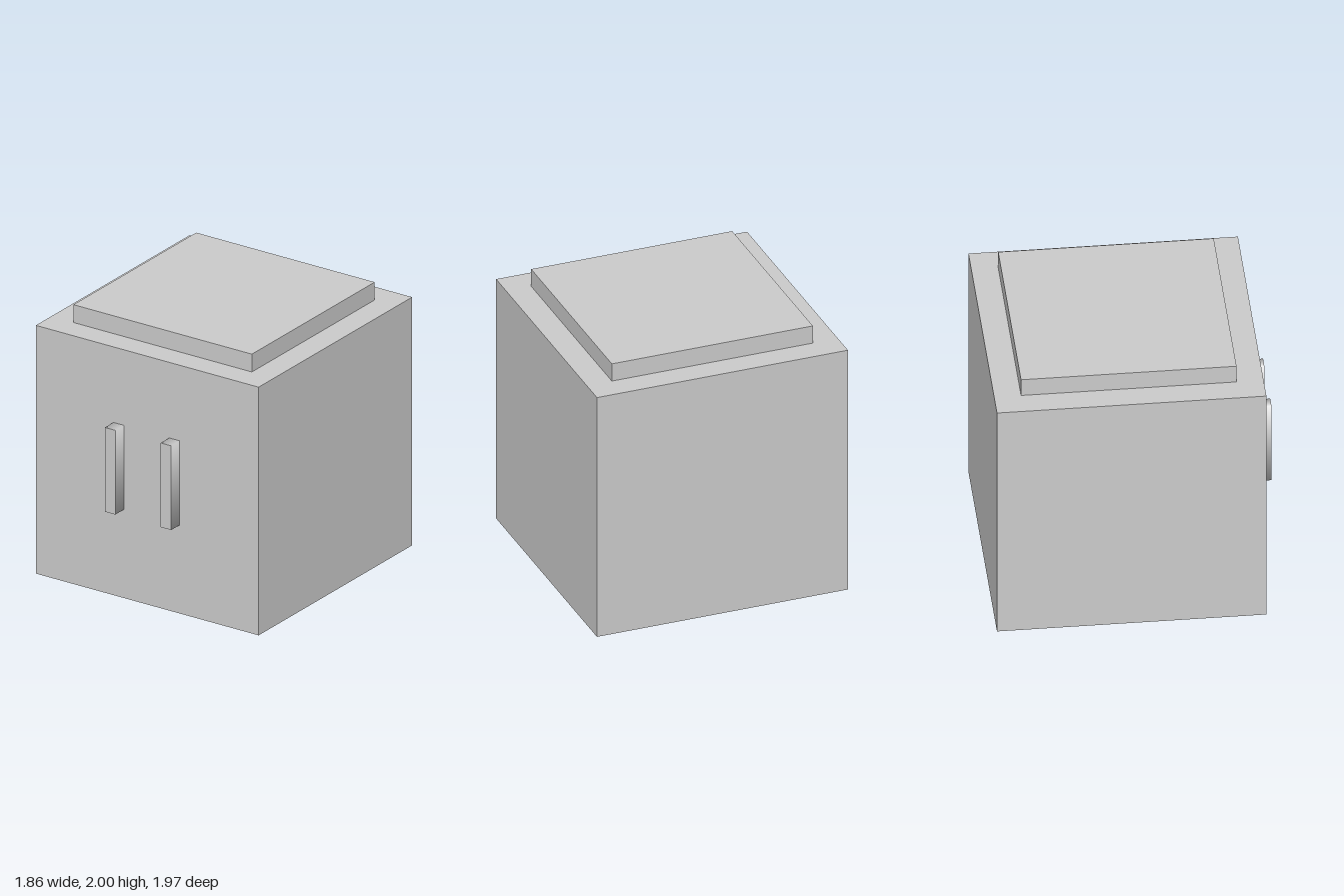
import * as THREE from 'three';

const material = new THREE.MeshStandardMaterial({ color: 0xcccccc });

// Box spanning the given [min, max] ranges
function block(name, x, y, z) {
  const geometry = new THREE.BoxGeometry(x[1] - x[0], y[1] - y[0], z[1] - z[0]);
  const mesh = new THREE.Mesh(geometry, material);
  mesh.name = name;
  mesh.position.set((x[0] + x[1]) / 2, (y[0] + y[1]) / 2, (z[0] + z[1]) / 2);
  return mesh;
}

// Smooth the shading around the bar's four sides, keeping its ends flat
function smoothSides(mesh) {
  const { position, normal } = mesh.geometry.attributes;
  for (let i = 0; i < normal.count; i++) {
    if (Math.abs(normal.getZ(i)) > 0.5) continue;
    normal.setXYZ(i, Math.sign(position.getX(i)) * Math.SQRT1_2, Math.sign(position.getY(i)) * Math.SQRT1_2, 0);
  }
  return mesh;
}

export function createModel() {
  const model = new THREE.Group();
  model.name = 'box';

  // Cube body and the raised slab on top
  model.add(block('body', [-0.93, 0.93], [0, 1.866], [-0.984, 0.88]));
  model.add(block('lid', [-0.745, 0.745], [1.866, 2], [-0.798, 0.693]));

  // Two upright bars on the front
  const bars = { rightBar: [-0.282, -0.195], leftBar: [0.184, 0.271] };
  for (const [name, x] of Object.entries(bars)) {
    model.add(smoothSides(block(name, x, [0.665, 1.298], [0.86, 0.984])));
  }
  return model;
}
